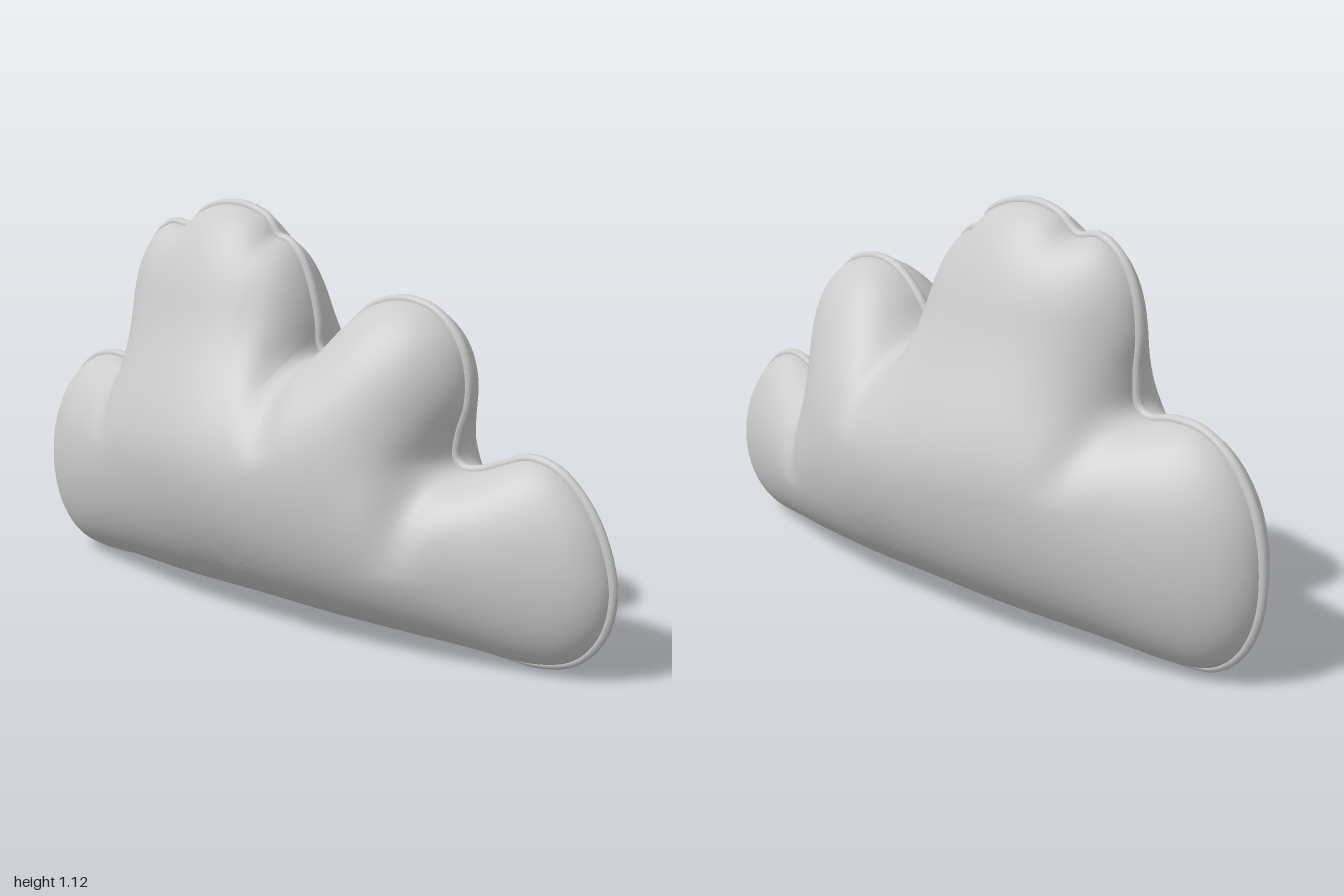
import * as THREE from 'three';

const SEGMENTS = 360, RINGS = 36;
const CENTRE = new THREE.Vector2(0, 0.16);
const DEPTH = 0.35, PIPING = 0.014;

// Seam outline, anticlockwise from the lower left: x, y pairs
const OUTLINE = [
  -.78, .014, -.6, .02, -.3, .02, 0, .024, .3, .02, .6, .02, .8, .016, .9, .05, .965, .13,
  .985, .24, .95, .37, .89, .46, .82, .515, .75, .528, .68, .505, .61, .478, .555, .475,
  .53, .5, .535, .56, .56, .64, .56, .72, .53, .8, .46, .865, .37, .887, .28, .87,
  .2, .81, .15, .75, .1, .715, .08, .74, .075, .8, .05, .9, .01, .98, -.03, 1.015,
  -.065, 1.025, -.1, 1.07, -.17, 1.1, -.26, 1.107, -.34, 1.085, -.4, 1.04, -.47, 1.045,
  -.53, 1.01, -.58, .93, -.6, .82, -.595, .72, -.605, .64, -.64, .618, -.72, .628,
  -.8, .62, -.88, .57, -.95, .47, -.985, .35, -.985, .2, -.94, .09, -.87, .03,
];

// Folds running inward from the notches: start, end, strength
const FOLDS = [
  [[.53, .49], [.5, .22], .22],
  [[.09, .72], [.14, .48], .2],
  [[-.6, .63], [-.54, .42], .14],
];

function seamCurve() {
  const points = [];
  for (let i = 0; i < OUTLINE.length; i += 2) points.push(new THREE.Vector3(OUTLINE[i], OUTLINE[i + 1], 0));
  const curve = new THREE.CatmullRomCurve3(points, true, 'centripetal');
  curve.arcLengthDivisions = 1500;
  return curve;
}

// Flat disc of rings shrinking from the seam to the centre, closer together near the seam
function flatSheet(curve) {
  const rim = curve.getSpacedPoints(SEGMENTS).slice(0, SEGMENTS);
  const points = [CENTRE.clone()], faces = [];
  for (let i = 1; i <= RINGS; i++) {
    const s = 1 - (1 - i / RINGS) ** 2;
    for (const p of rim) points.push(new THREE.Vector2(p.x, p.y).sub(CENTRE).multiplyScalar(s).add(CENTRE));
  }
  const at = (i, j) => 1 + (i - 1) * SEGMENTS + (j % SEGMENTS);
  for (let j = 0; j < SEGMENTS; j++) {
    faces.push([0, at(1, j), at(1, j + 1)]);
    for (let i = 1; i < RINGS; i++) {
      faces.push([at(i, j), at(i + 1, j), at(i + 1, j + 1)], [at(i, j), at(i + 1, j + 1), at(i, j + 1)]);
    }
  }
  return { points, faces };
}

// Inflate the sheet like a membrane under even pressure, pinned at the seam
function inflate({ points, faces }) {
  const links = points.map(() => new Map());
  const load = new Float64Array(points.length);
  const link = (a, b, w) => links[a].set(b, (links[a].get(b) || 0) + w);
  for (const f of faces) {
    for (let k = 0; k < 3; k++) {
      const [a, b, c] = [f[k], f[(k + 1) % 3], f[(k + 2) % 3]];
      const u = points[b].clone().sub(points[a]), v = points[c].clone().sub(points[a]);
      const cross = Math.max(Math.abs(u.cross(v)), 1e-12);
      link(b, c, u.dot(v) / cross / 2);
      link(c, b, u.dot(v) / cross / 2);
      load[a] += cross / 6;
    }
  }
  const free = 1 + (RINGS - 1) * SEGMENTS;
  const ids = links.map(m => [...m.keys()]), weights = links.map(m => [...m.values()]);
  const totals = weights.map(w => w.reduce((a, b) => a + b, 0));
  const h = new Float64Array(points.length);
  for (let pass = 0; pass < 2500; pass++) {
    for (let i = 0; i < free; i++) {
      let sum = load[i];
      for (let k = 0; k < ids[i].length; k++) sum += weights[i][k] * h[ids[i][k]];
      h[i] += 1.9 * (sum / totals[i] - h[i]);
    }
  }
  const top = h.reduce((a, b) => Math.max(a, b), 0);
  return points.map((p, i) => DEPTH * Math.sqrt(Math.max(h[i], 0) / top) * fullness(p) * foldFactor(p));
}

// Stuffing thins out towards both ends and the top of the tall lobe
function fullness({ x, y }) {
  const step = THREE.MathUtils.smoothstep;
  const ends = 1 - 0.27 * (step(-x, 0.1, 1) + step(x, 0.45, 0.9));
  const tower = 1 - 0.24 * step(y, 0.42, 0.85) * (1 - step(x, -0.05, 0.2));
  const middle = 1 + 0.06 * Math.exp(-(((x - 0.15) / 0.22) ** 2));
  return ends * tower * middle;
}

function foldFactor(p) {
  let factor = 1;
  for (const [from, to, strength] of FOLDS) {
    const a = new THREE.Vector2(...from), d = new THREE.Vector2(...to).sub(a);
    const t = THREE.MathUtils.clamp(p.clone().sub(a).dot(d) / d.lengthSq(), 0, 1);
    const gap = p.distanceTo(a.addScaledVector(d, t));
    factor -= strength * (1 - t) * Math.exp(-((gap / 0.05) ** 2));
  }
  return factor;
}

function panelGeometry({ points, faces }, heights, side) {
  const geometry = new THREE.BufferGeometry();
  const positions = points.flatMap((p, i) => [p.x, p.y, side * heights[i]]);
  const index = faces.flatMap(([a, b, c]) => (side > 0 ? [a, b, c] : [a, c, b]));
  geometry.setAttribute('position', new THREE.Float32BufferAttribute(positions, 3));
  geometry.setIndex(index);
  geometry.computeVertexNormals();
  return geometry;
}

export function createModel() {
  const group = new THREE.Group();
  group.name = 'cloudCushion';
  const material = new THREE.MeshStandardMaterial({ color: 0xcccccc });
  const add = (name, geometry) => {
    const mesh = new THREE.Mesh(geometry, material);
    mesh.name = name;
    group.add(mesh);
  };

  // Two puffed fabric panels
  const curve = seamCurve();
  const sheet = flatSheet(curve);
  const heights = inflate(sheet);
  add('frontPanel', panelGeometry(sheet, heights, 1));
  add('backPanel', panelGeometry(sheet, heights, -1));

  // Piping cord along the seam
  add('seamPiping', new THREE.TubeGeometry(curve, SEGMENTS, PIPING, 10, true));
  return group;
}
